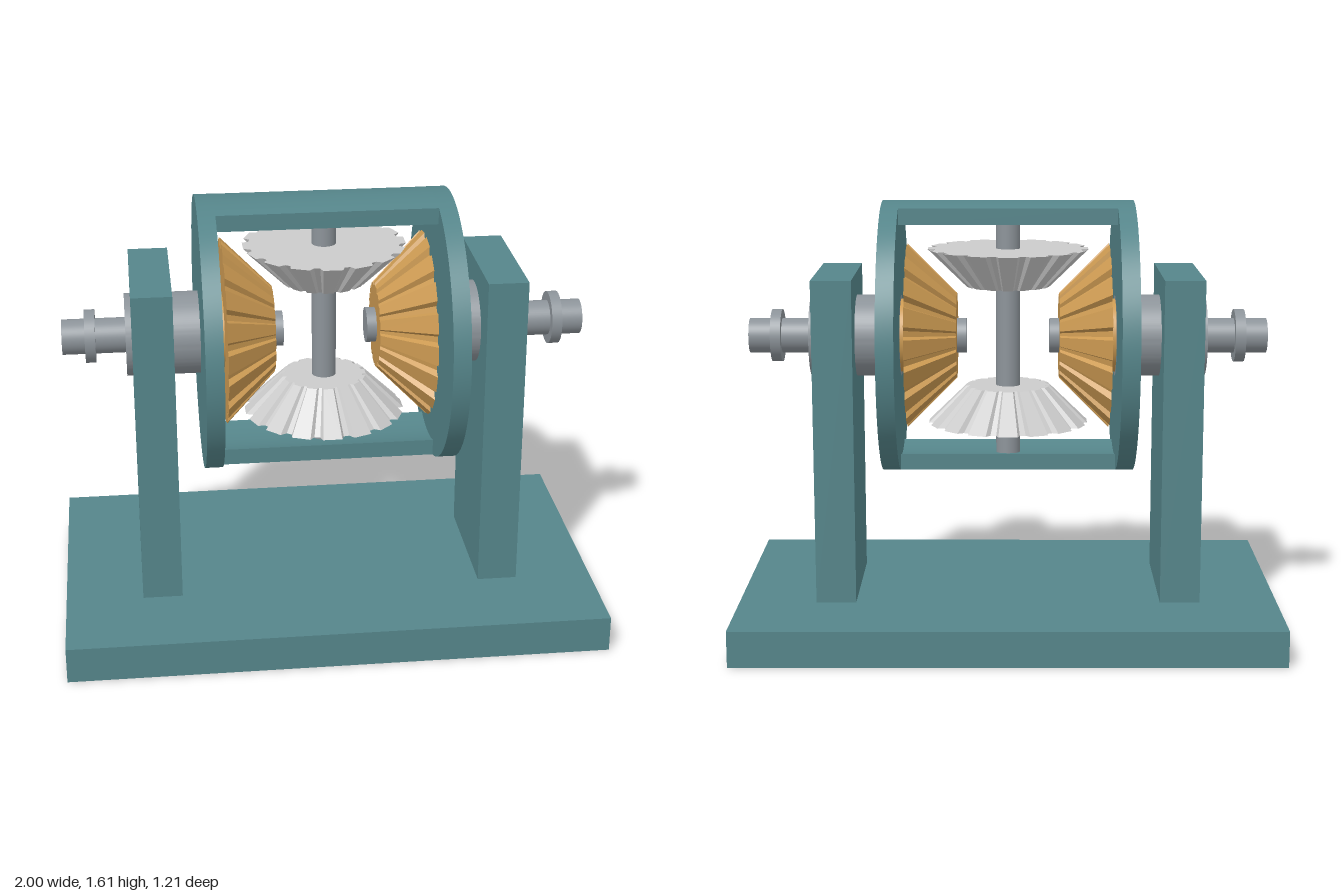
import * as THREE from 'three';
import { toCreasedNormals } from 'three/addons/utils/BufferGeometryUtils.js';

const AXIS = 1.1; // height of the main shaft
const R = 0.505; // carrier radius

const teal = new THREE.MeshStandardMaterial({ color: 0x55858a });
const gold = new THREE.MeshStandardMaterial({ color: 0xcc9a52 });
const steel = new THREE.MeshStandardMaterial({ color: 0x8c9399 });
const grey = new THREE.MeshStandardMaterial({ color: 0xcccccc });

function add(parent, name, geometry, material) {
  const mesh = new THREE.Mesh(geometry, material);
  mesh.name = name;
  parent.add(mesh);
  return mesh;
}

// Shape drawn in the z-y plane, extruded from x0 to x1
function extrudeX(shape, x0, x1) {
  const g = new THREE.ExtrudeGeometry(shape, { depth: x1 - x0, bevelEnabled: false, curveSegments: 64 });
  g.rotateY(Math.PI / 2).translate(x0, 0, 0);
  return toCreasedNormals(g, 0.5);
}

function cylinderX(r, x0, x1) {
  return new THREE.CylinderGeometry(r, r, x1 - x0, 48).rotateZ(-Math.PI / 2).translate((x0 + x1) / 2, 0, 0);
}

function circle(r, hole) {
  const s = new THREE.Shape().absarc(0, 0, r, 0, Math.PI * 2);
  if (hole) s.holes.push(new THREE.Path().absarc(0, 0, hole, 0, Math.PI * 2, true));
  return s;
}

// Toothed outline extruded along +z and tapered from radius r0 to r1
function bevelGear(teeth, r0, r1, height, depth) {
  const pts = [];
  const step = (Math.PI * 2) / teeth;
  for (let i = 0; i < teeth; i++) {
    for (const [f, r] of [[-0.3, r0], [0.3, r0], [0.4, r0 - depth], [0.6, r0 - depth]]) {
      const a = (i + f) * step;
      pts.push(new THREE.Vector2(Math.cos(a) * r, Math.sin(a) * r));
    }
  }
  const g = new THREE.ExtrudeGeometry(new THREE.Shape(pts), { depth: height, bevelEnabled: false });
  const p = g.attributes.position;
  for (let i = 0; i < p.count; i++) {
    const k = 1 - (p.getZ(i) / height) * (1 - r1 / r0);
    p.setXY(i, p.getX(i) * k, p.getY(i) * k);
  }
  g.computeVertexNormals();
  return g;
}

// Everything on one side, built for +x around the shaft axis
function buildSide(name) {
  const side = new THREE.Group();
  side.name = name;

  const post = new THREE.Shape();
  post.moveTo(-0.262, 0.135 - AXIS);
  post.lineTo(0.262, 0.135 - AXIS);
  post.lineTo(0.262, 1.34 - AXIS);
  post.lineTo(-0.262, 1.34 - AXIS);
  post.closePath();
  post.holes.push(new THREE.Path().absarc(0, 0, 0.15, 0, Math.PI * 2, true));
  add(side, 'supportPost', extrudeX(post, 0.565, 0.713), teal);

  add(side, 'carrierDisc', extrudeX(circle(R, 0.15), 0.4, 0.465), teal);
  add(side, 'bearingSleeve', extrudeX(circle(0.152, 0.108), 0.4, 0.735), steel);

  // Shaft with its retaining collar
  add(side, 'shaft', cylinderX(0.065, 0.155, 0.967), steel);
  add(side, 'shaftCollar', cylinderX(0.098, 0.845, 0.883), steel);

  // Side gear with hub, tapering inwards
  const gear = bevelGear(18, 0.345, 0.16, 0.185, 0.03).rotateY(-Math.PI / 2).translate(0.376, 0, 0);
  add(side, 'sideGear', gear, gold);
  add(side, 'sideGearHub', cylinderX(0.137, 0.37, 0.402), gold);

  side.position.y = AXIS;
  return side;
}

// Upper carrier bar and pinion, built for +y around the shaft axis
function buildPinion(name) {
  const half = new THREE.Group();
  half.name = name;

  const inner = 0.447;
  const a = Math.asin(0.13 / R);
  const b = Math.asin(0.13 / inner);
  const up = Math.PI / 2;
  const bar = new THREE.Shape();
  bar.absarc(0, 0, R, up - a, up + a, false);
  bar.absarc(0, 0, inner, up + b, up - b, true);
  bar.closePath();
  add(half, 'carrierBar', extrudeX(bar, -0.4, 0.4), teal);

  const gear = bevelGear(16, 0.3, 0.157, 0.14, 0.024).rotateX(Math.PI / 2).translate(0, 0.328, 0);
  add(half, 'pinionGear', gear, grey);

  half.position.y = AXIS;
  return half;
}

export function createModel() {
  const model = new THREE.Group();
  model.name = 'differentialGear';

  add(model, 'basePlate', new THREE.BoxGeometry(2, 0.135, 1.21).translate(0, 0.0675, 0), teal);

  const left = buildSide('leftSide');
  const right = buildSide('rightSide');
  right.rotation.y = Math.PI;
  model.add(left, right);

  const top = buildPinion('topPinion');
  const bottom = buildPinion('bottomPinion');
  bottom.rotation.x = Math.PI;
  model.add(top, bottom);

  // Cross pin carrying both pinions
  add(model, 'crossPin', new THREE.CylinderGeometry(0.045, 0.045, 0.9, 32), steel).position.y = AXIS;

  return model;
}
